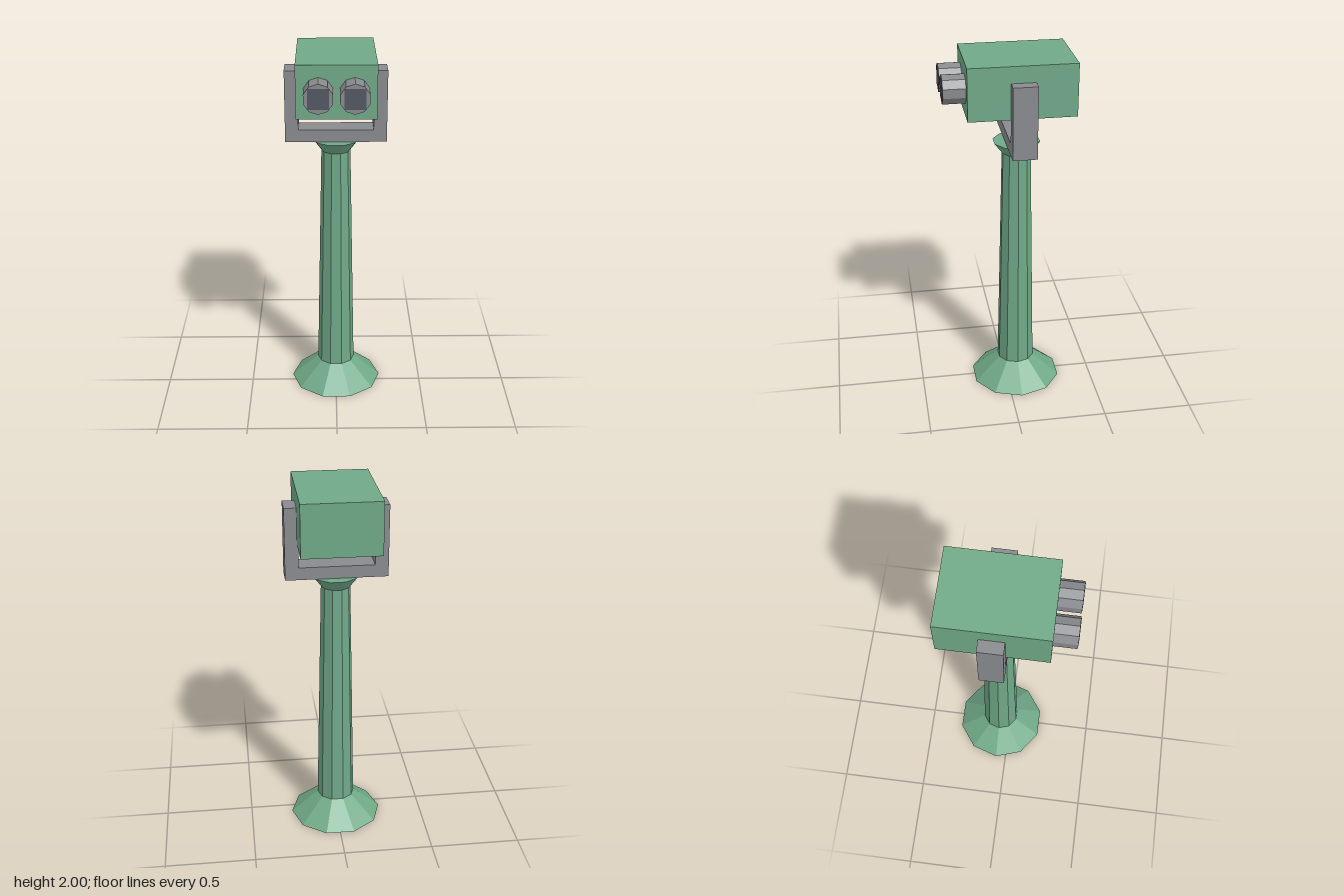
import * as THREE from 'three';

const paint = (color) => new THREE.MeshStandardMaterial({ color, flatShading: true });

export function createModel() {
  const model = new THREE.Group();
  model.name = 'coinViewer';
  const green = paint(0x70a988), grey = paint(0x8a8b8f), dark = paint(0x535862);
  const axisZ = -0.06;

  const add = (name, geometry, material, x, y, z) => {
    const mesh = new THREE.Mesh(geometry, material);
    mesh.name = name;
    mesh.position.set(x, y, z);
    model.add(mesh);
    return mesh;
  };

  // ten-sided pedestal: flared foot, tapering column, flared collar
  const profile = [[0, 0], [0.26, 0], [0.106, 0.133], [0.08, 1.45], [0.13, 1.515], [0, 1.515]]
    .map(([r, y]) => new THREE.Vector2(r, y));
  add('pedestal', new THREE.LatheGeometry(profile, 10, Math.PI / 2), green, 0, 0, axisZ);

  // U-shaped yoke holding the head
  const yoke = new THREE.Shape([
    [-0.275, 1.515], [0.275, 1.515], [0.275, 1.91], [0.203, 1.91],
    [0.203, 1.583], [-0.203, 1.583], [-0.203, 1.91], [-0.275, 1.91],
  ].map(([x, y]) => new THREE.Vector2(x, y)));
  add('yoke', new THREE.ExtrudeGeometry(yoke, { depth: 0.13, bevelEnabled: false }),
    grey, 0, 0, -0.127);

  // viewer head
  add('head', new THREE.BoxGeometry(0.42, 0.285, 0.573), green, 0, 1.8575, -0.0605);

  // pair of barrels with square lens panes
  for (const [side, s] of [['left', 1], ['right', -1]]) {
    const barrel = new THREE.CylinderGeometry(0.079, 0.079, 0.125, 10);
    barrel.rotateX(Math.PI / 2);
    add(side + 'Barrel', barrel, grey, s * 0.093, 1.8575, 0.2825);
    add(side + 'Lens', new THREE.BoxGeometry(0.108, 0.108, 0.004), dark, s * 0.093, 1.8575, 0.345);
  }

  return model;
}
